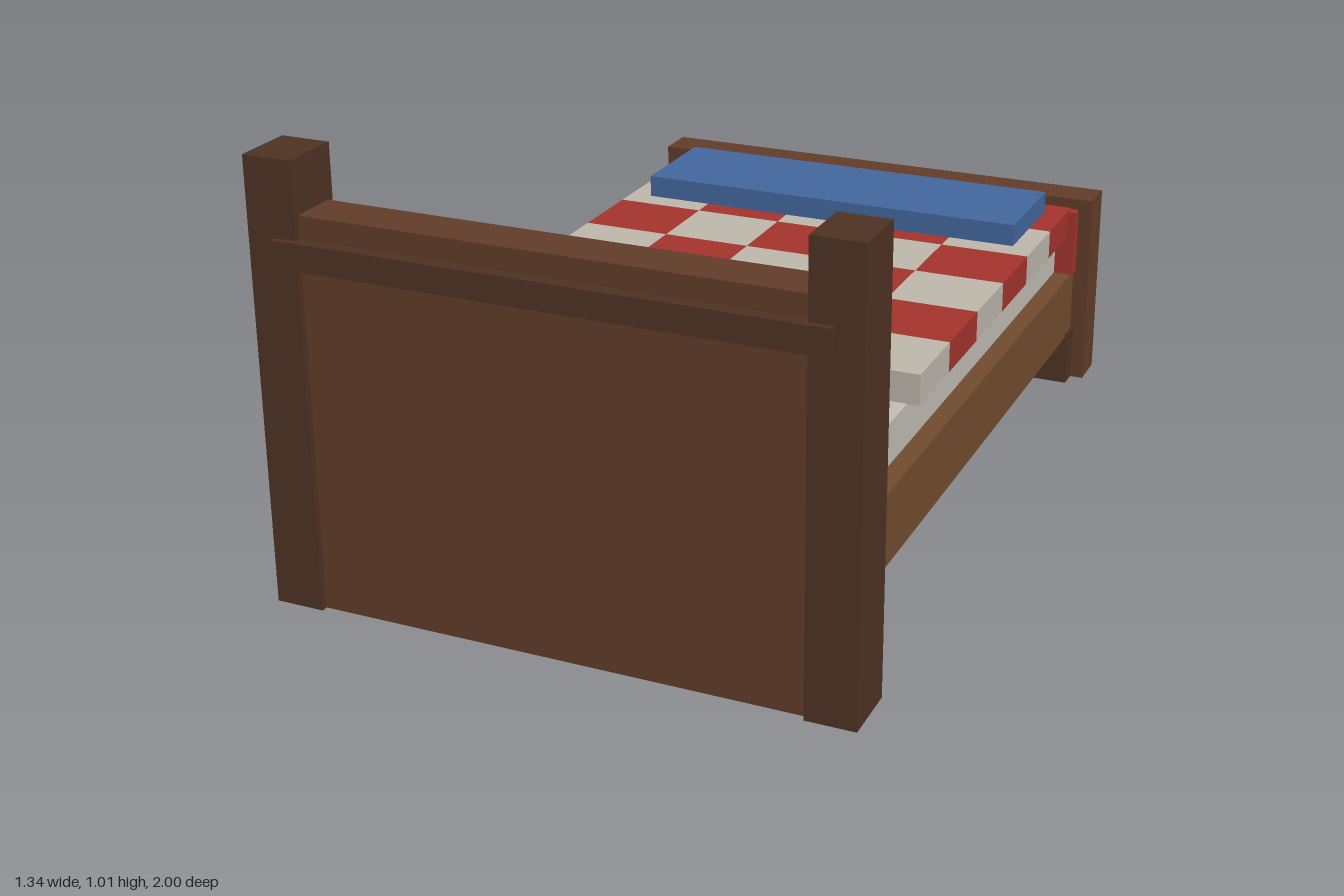
import * as THREE from 'three';

export function createModel() {
  const bed = new THREE.Group();
  bed.name = 'bed';
  const mat = (color) => new THREE.MeshStandardMaterial({ color, flatShading: true });
  const darkWood = mat(0x4f3323), wood = mat(0x633d29), paleWood = mat(0x734d2e);
  const red = mat(0xa5342d), cream = mat(0xbfb9ad), linen = mat(0xc2bfb6);
  const pillowCloth = mat(0xc6c4c0), blue = mat(0x44689f);

  // Box given by its limits along each axis
  function box(name, material, [x0, x1], [y0, y1], [z0, z1], parent = bed) {
    const mesh = new THREE.Mesh(new THREE.BoxGeometry(x1 - x0, y1 - y0, z1 - z0), material);
    mesh.position.set((x0 + x1) / 2, (y0 + y1) / 2, (z0 + z1) / 2);
    mesh.name = name;
    parent.add(mesh);
  }
  // Mirrored pair, given by its +x half
  function pair(name, material, [x0, x1], y, z) {
    box(name + 'Left', material, [x0, x1], y, z);
    box(name + 'Right', material, [-x1, -x0], y, z);
  }

  // Headboard: panel, cross rail and two tall posts
  box('headboardPanel', wood, [-0.56, 0.56], [0, 0.895], [0.86, 0.97]);
  box('headboardRail', darkWood, [-0.61, 0.61], [0.785, 0.845], [0.83, 1]);
  pair('headboardPost', darkWood, [0.557, 0.67], [0, 1.015], [0.843, 0.985]);

  // Footboard
  box('footboard', wood, [-0.61, 0.61], [0, 0.5], [-1, -0.9]);

  // Bed frame and its short legs
  box('frame', paleWood, [-0.57, 0.57], [0.13, 0.3], [-0.91, 0.87]);
  pair('headLeg', darkWood, [0.465, 0.577], [0, 0.14], [0.825, 0.94]);
  pair('footLeg', darkWood, [0.465, 0.577], [0, 0.14], [-0.965, -0.85]);

  // Mattress and pillows
  box('mattress', linen, [-0.525, 0.525], [0.3, 0.4], [-0.88, 0.87]);
  pair('pillow', pillowCloth, [0.043, 0.468], [0.4, 0.545], [0.43, 0.785]);

  // Checkered blanket: five columns by six rows of tiles
  const blanket = new THREE.Group();
  blanket.name = 'blanket';
  bed.add(blanket);
  const columns = 5, rows = 6, width = 1.11 / columns, depth = 1.212 / rows;
  for (let r = 0; r < rows; r++) {
    for (let c = 0; c < columns; c++) {
      const x = -0.555 + c * width, z = -0.9 + r * depth;
      box('blanketTile', (r + c) % 2 ? cream : red,
        [x, x + width], [0.402, 0.475], [z, z + depth], blanket);
    }
  }

  // Blanket end hanging at the footboard, and the folded throw
  box('blanketDrape', red, [-0.575, 0.575], [0.3, 0.472], [-0.905, -0.872]);
  box('foldedThrow', blue, [-0.5, 0.5], [0.475, 0.53], [-0.84, -0.555]);

  return bed;
}
